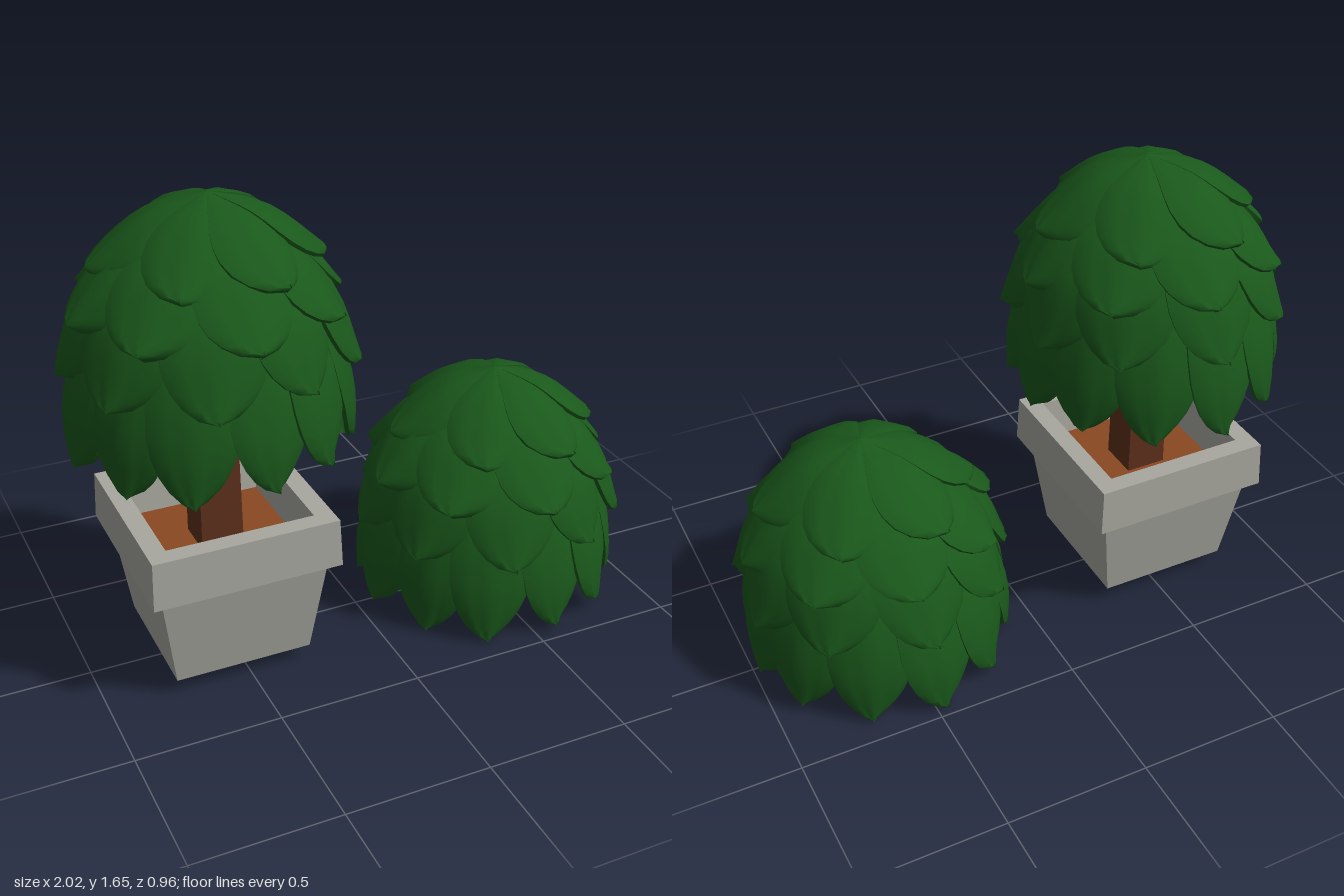
import * as THREE from 'three';
import { mergeGeometries } from 'three/addons/utils/BufferGeometryUtils.js';

const mat = (color, flatShading = true) => new THREE.MeshStandardMaterial({ color, flatShading });
const leafMat = mat(0x1a581b, false);
const stoneMat = mat(0xa8a8a0);
const barkMat = mat(0x5e301c);
const soilMat = mat(0x8a4a22);
const baseMat = mat(0x6b6238);

let seed = 11;
const rand = () => (seed = (seed * 16807) % 2147483647) / 2147483647;

// leaf rings from top to bottom: count, start angle and profile as [radius, height]
const rings = [
  { name: 'crownLeaves', n: 6, start: 0.45, pts: [[0, 0.85], [0.18, 0.785], [0.375, 0.615]] },
  { name: 'upperLeaves', n: 8, start: 0.05, pts: [[0.12, 0.775], [0.3, 0.665], [0.45, 0.475]] },
  { name: 'middleLeaves', n: 9, start: 0.38, pts: [[0.17, 0.71], [0.37, 0.56], [0.465, 0.29]] },
  { name: 'lowerLeaves', n: 12, start: 0.1, pts: [[0.2, 0.66], [0.37, 0.47], [0.445, 0.22], [0.44, 0.005]] },
];

// thick ovate leaf wrapped around the dome profile, made by bending a box
function leafGeometry(curve, angle, halfAngle, length, lift) {
  const g = new THREE.BoxGeometry(2, 1, 1, 8, 10, 1);
  const p = g.attributes.position;
  for (let i = 0; i < p.count; i++) {
    const s = p.getX(i);
    const t = 1 - Math.pow(0.5 - p.getY(i), 1.5);
    const x = Math.max(0, (t - 0.5) / 0.5);
    const width = halfAngle * Math.pow(1 - x * x, 0.6);
    const c = curve.getPoint(t * length);
    const d = curve.getTangent(t * length);
    // edges droop from a soft midrib and one side overlaps its neighbour
    const off = p.getZ(i) * 0.014 + t * (lift + 0.015 * s - 0.022 * Math.abs(s) ** 1.4 + 0.004 * Math.cos(s * 9));
    const r = Math.max(0, c.x - d.y * off);
    const a = angle - s * width;
    // the top of the dome leans slightly to one side
    p.setXYZ(i, r * Math.sin(a) + 0.03 * c.y * c.y, Math.max(0, c.y + d.x * off), r * Math.cos(a));
  }
  g.computeVertexNormals();
  return g;
}

// dome of overlapping leaf rings
function createFoliage() {
  const foliage = new THREE.Group();
  for (const { name, n, start, pts } of rings) {
    const curve = new THREE.CatmullRomCurve3(pts.map(([r, y]) => new THREE.Vector3(r, y, 0)));
    const leaves = [];
    for (let i = 0; i < n; i++) {
      const angle = start + (i + (rand() - 0.5) * 0.14) * Math.PI * 2 / n;
      leaves.push(leafGeometry(curve, angle, Math.PI / n * 1.3, 0.94 + rand() * 0.06, 0.012 + rand() * 0.018));
    }
    const mesh = new THREE.Mesh(mergeGeometries(leaves), leafMat);
    mesh.name = name;
    foliage.add(mesh);
  }
  return foliage;
}

// square solid of revolution from [halfWidth, height] points
function squareLathe(name, pts, material) {
  const profile = pts.map(([w, y]) => new THREE.Vector2(w * Math.SQRT2, y));
  const g = new THREE.LatheGeometry(profile, 4).rotateY(Math.PI / 4);
  const mesh = new THREE.Mesh(g, material);
  mesh.name = name;
  return mesh;
}

export function createModel() {
  const model = new THREE.Group();
  model.name = 'pottedTreeSet';

  // potted tree
  const tree = new THREE.Group();
  tree.name = 'pottedTree';
  tree.position.x = -0.527;
  tree.add(squareLathe('pot', [[0.24, 0.06], [0.291, 0.415], [0.328, 0.415], [0.322, 0.585], [0.256, 0.585], [0.242, 0.42]], stoneMat));
  tree.add(squareLathe('potBase', [[0, 0.06], [0.24, 0.06]], baseMat));
  tree.add(squareLathe('soil', [[0.244, 0.435], [0, 0.435]], soilMat));
  // trunk flares into a core hidden by the leaves
  tree.add(squareLathe('trunk', [[0.074, 0.43], [0.07, 0.87], [0.25, 1.12], [0.2, 1.3], [0, 1.42]], barkMat));
  const foliage = createFoliage();
  foliage.name = 'treeFoliage';
  foliage.position.set(0.002, 0.8, 0);
  tree.add(foliage);

  // loose foliage dome standing on the ground
  const bush = foliage.clone();
  bush.name = 'bush';
  bush.position.set(0.525, 0, 0);

  model.add(tree, bush);
  return model;
}
